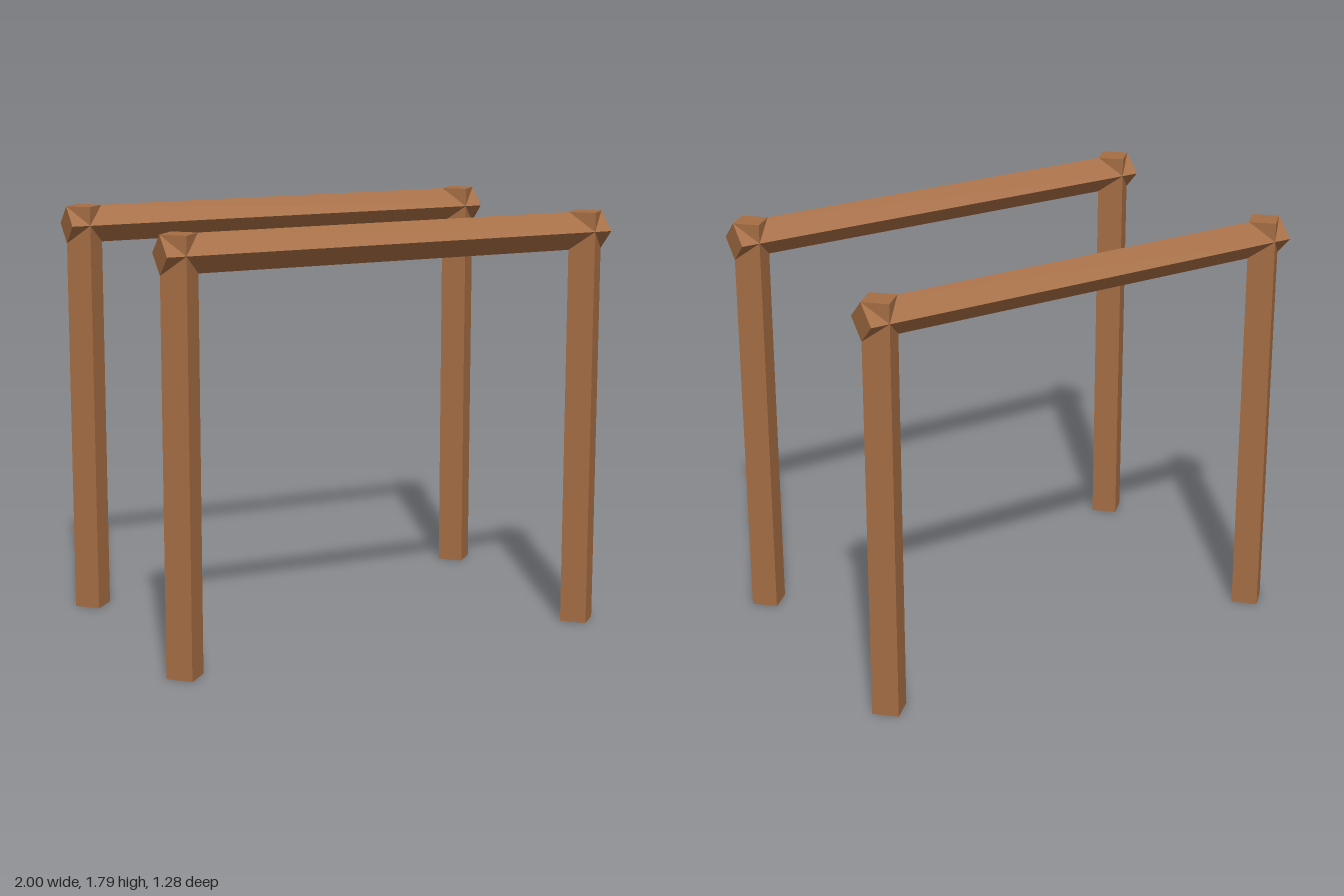
import * as THREE from 'three';

export function createModel() {
  const group = new THREE.Group();
  const wood = new THREE.MeshStandardMaterial({ color: 0xa56d43, flatShading: true });
  wood.name = 'brown wood';

  const R = 0.08;      // half-diagonal of the square timber
  const HEIGHT = 1.79;
  const POST_X = 0.92;
  const FRAME_Z = 0.56;

  // Square timber set edge-on, running along y
  const timber = (length, name) => {
    const mesh = new THREE.Mesh(new THREE.CylinderGeometry(R, R, length, 4), wood);
    mesh.name = name;
    return mesh;
  };

  for (const [side, z] of [['front', FRAME_Z], ['back', -FRAME_Z]]) {
    const frame = new THREE.Group();
    frame.name = side + 'Frame';
    frame.position.z = z;

    // Upright posts
    for (const [hand, x] of [['Left', POST_X], ['Right', -POST_X]]) {
      const post = timber(HEIGHT, side + hand + 'Post');
      post.position.set(x, HEIGHT / 2, 0);
      frame.add(post);
    }

    // Crossbar whose ends poke through the post tops
    const beam = timber(2, side + 'Beam');
    beam.rotation.z = Math.PI / 2;
    beam.position.y = HEIGHT - R;
    frame.add(beam);

    group.add(frame);
  }
  return group;
}
